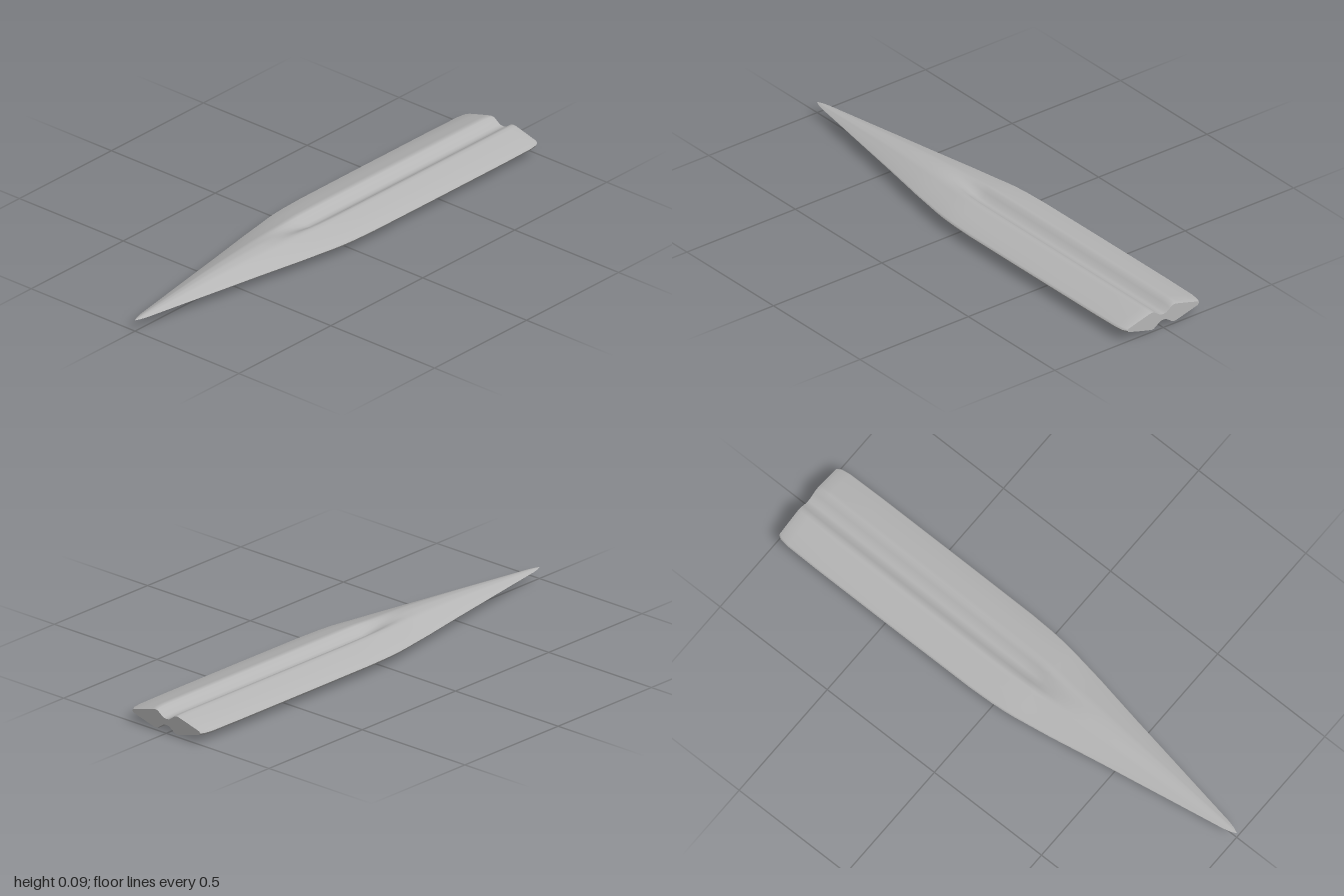
import * as THREE from 'three';

const MID = 0.045;

// Half cross-section, edge to centre: [width fraction, grooved height, nose height]
const HALF = [
  [1, 0, 0], [0.97, 0.2, 0.12], [0.67, 0.59, 0.5], [0.41, 0.92, 0.81], [0.33, 1, 0.88],
  [0.26, 0.97, 0.92], [0.18, 0.7, 0.95], [0.08, 0.38, 0.985], [0, 0.33, 1],
];
const SECTION = [
  ...HALF.map(([u, a, b]) => [-u, a, b]),
  ...HALF.slice(0, -1).reverse(),
];

// Stations from back to tip: [z, half width, half height, groove amount]
const STATIONS = [
  [-1, 0.165, 0.035, 1], [-0.985, 0.174, 0.039, 1], [-0.95, 0.179, 0.041, 1],
  [-0.8, 0.181, 0.041, 1], [-0.4, 0.181, 0.041, 1], [-0.1, 0.18, 0.041, 1],
  [0, 0.176, 0.0415, 1], [0.06, 0.171, 0.042, 0.97], [0.1, 0.166, 0.0425, 0.72],
  [0.15, 0.158, 0.0432, 0.4], [0.2, 0.15, 0.044, 0.18], [0.25, 0.142, 0.0445, 0.06],
  [0.32, 0.129, 0.0443, 0], [0.45, 0.105, 0.039, 0], [0.6, 0.079, 0.031, 0],
  [0.8, 0.044, 0.0165, 0], [0.95, 0.018, 0.006, 0], [0.98, 0.01, 0.003, 0],
  [1, 0.001, 0.0005, 0],
];

function point([z, w, h, groove], [u, grooved, nose], side) {
  const k = THREE.MathUtils.lerp(nose, grooved, groove);
  return [u * w, MID + side * h * k, z];
}

function makeGeometry(positions, indices) {
  const geometry = new THREE.BufferGeometry();
  geometry.setAttribute('position', new THREE.Float32BufferAttribute(positions, 3));
  geometry.setIndex(indices);
  geometry.computeVertexNormals();
  return geometry;
}

// One face of the blade; side is +1 for the upper and -1 for the lower
function bladeFace(side) {
  const n = SECTION.length;
  const positions = STATIONS.flatMap((s) => SECTION.flatMap((c) => point(s, c, side)));
  const indices = [];
  for (let r = 0; r < STATIONS.length - 1; r++) {
    for (let c = 0; c < n - 1; c++) {
      const a = r * n + c, b = a + 1, d = a + n, e = d + 1;
      if (side > 0) indices.push(a, d, b, b, d, e);
      else indices.push(a, b, d, b, e, d);
    }
  }
  return makeGeometry(positions, indices);
}

// Flat cap closing the back end
function backCap() {
  const n = SECTION.length;
  const positions = [1, -1].flatMap((side) => SECTION.flatMap((c) => point(STATIONS[0], c, side)));
  const indices = [];
  for (let c = 0; c < n - 1; c++) {
    indices.push(c, c + 1, c + n, c + 1, c + n + 1, c + n);
  }
  return makeGeometry(positions, indices);
}

export function createModel() {
  const steel = new THREE.MeshStandardMaterial({ color: 0xb5b5b5 });
  steel.name = 'steel grey';

  const model = new THREE.Group();
  model.name = 'blade';
  const parts = {
    upperFace: bladeFace(1),
    lowerFace: bladeFace(-1),
    backCap: backCap(),
  };
  for (const [name, geometry] of Object.entries(parts)) {
    const mesh = new THREE.Mesh(geometry, steel);
    mesh.name = name;
    model.add(mesh);
  }
  return model;
}
